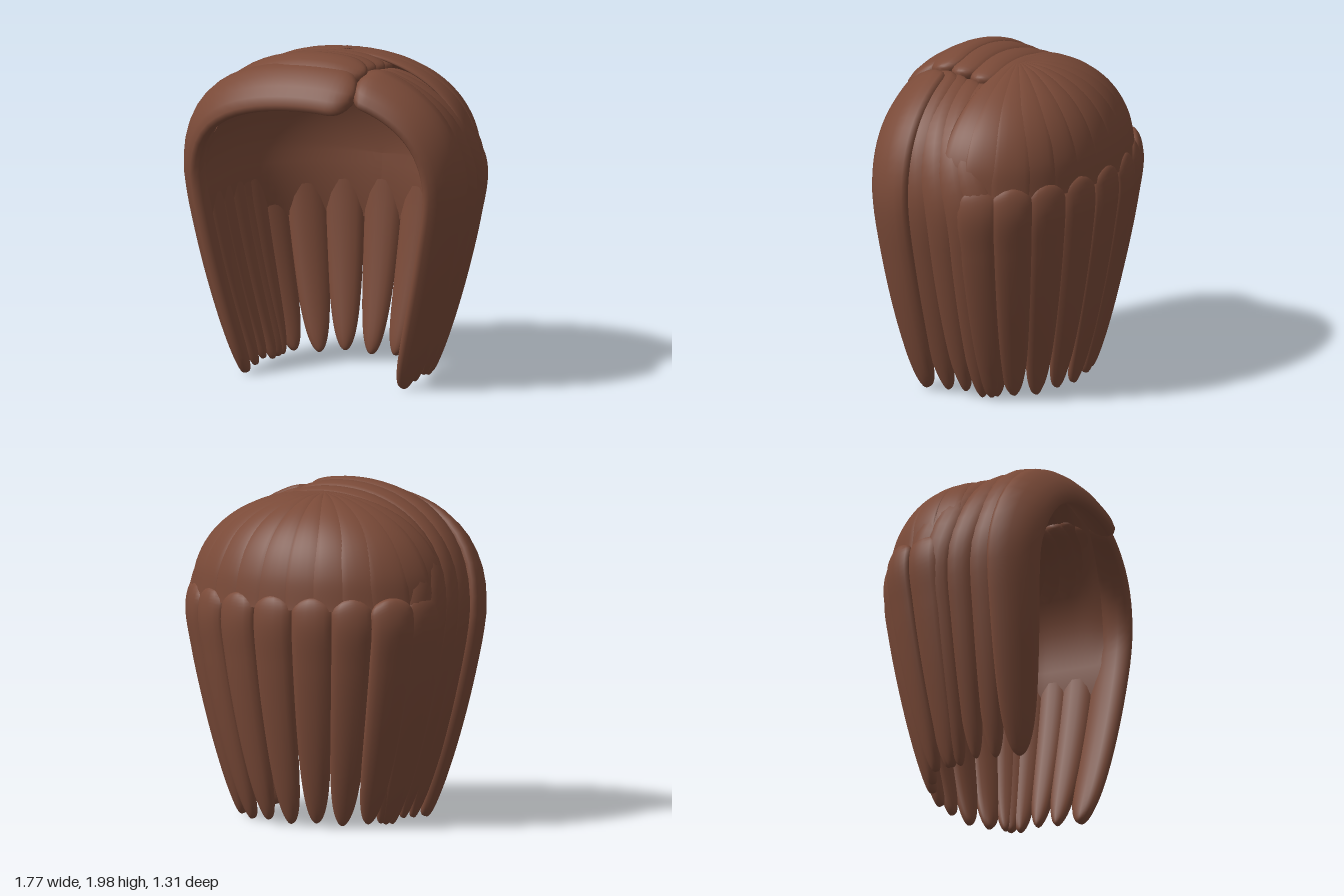
import * as THREE from 'three';

const W = 0.8, D = 0.6, BASE = 1.2; // half width, back depth, height of the widest ring
const rad = THREE.MathUtils.degToRad;

// how far the hair narrows below the widest ring
const taper = (y) => { const d = Math.max(0, BASE - y); return 1 - 0.2 * d - 0.1 * d * d; };
// height of the crown above the widest ring, dropping towards the forehead
const crown = (z) => 0.72 + 0.1 * Math.min(Math.max(z, 0), 0.3) - 2.5 * Math.max(0, z - 0.3) ** 2;
const round = (c) => Math.pow(Math.max(0, c), 0.86);
// slightly squared back outline
const backDepth = (phi) => -D * Math.cos(phi) ** 0.9;

// outward direction of the head at a point
function outward(p) {
  return new THREE.Vector3(
    p.x / (W * W),
    Math.max(0, p.y - BASE) / 0.52,
    Math.min(0, p.z) / (D * D) + Math.max(0, p.z - 0.25) * 4
  ).normalize();
}

// hanging points from the widest ring to the tip
function hang(x, z, yStart, yTip) {
  const pts = [];
  for (let i = 0; i <= 5; i++) {
    const y = yStart + (yTip - yStart) * i / 5, k = taper(y);
    pts.push(new THREE.Vector3(x * k, y, z * (z > 0 ? 1 - (1 - k) * 0.5 : k)));
  }
  return pts;
}

// flattened tube swept along a path, with a width rule
function lockGeometry(points, width, thick, profile) {
  const curve = new THREE.CatmullRomCurve3(points), N = 48, M = 14;
  const pos = [], index = [];
  for (let i = 0; i <= N; i++) {
    const t = 0.5 - 0.5 * Math.cos(Math.PI * i / N);
    const c = curve.getPointAt(t), T = curve.getTangentAt(t);
    const n = outward(c);
    n.addScaledVector(T, -n.dot(T)).normalize();
    const b = new THREE.Vector3().crossVectors(T, n);
    const s = Math.max(0.005, profile(t));
    for (let j = 0; j < M; j++) {
      const a = 2 * Math.PI * j / M;
      const p = c.clone().addScaledVector(b, Math.cos(a) * width * s)
        .addScaledVector(n, Math.sin(a) * thick * Math.sqrt(s));
      pos.push(p.x, p.y, p.z);
      if (i < N) {
        const a0 = i * M + j, a1 = i * M + (j + 1) % M;
        index.push(a0, a0 + M, a1, a1, a0 + M, a1 + M);
      }
    }
  }
  return finish(pos, index);
}

function finish(pos, index) {
  const g = new THREE.BufferGeometry();
  g.setAttribute('position', new THREE.Float32BufferAttribute(pos, 3));
  g.setIndex(index);
  g.computeVertexNormals();
  return g;
}

// width rules: rounded root, narrowing rounded tip
const rootRound = (t, r) => (t < r ? Math.sqrt(1 - (1 - t / r) ** 2) : 1);
const tipRound = (t, p) => Math.sqrt(Math.max(0, 1 - t ** p));
const hangProfile = (t) => rootRound(t, 0.07) * (1 - 0.46 * t ** 1.9) * tipRound(t, 12);
const sweepProfile = (t) => rootRound(t, 0.05) * (1 - 0.45 * t ** 3) * tipRound(t, 18);
const domeProfile = (t) => 0.12 + 0.88 * Math.sin(t * Math.PI / 2);

// inner shell: arches from back to front, its skirt flaring out into the locks
function capGeometry() {
  const w = W - 0.06, d = D - 0.065, slices = [], pos = [], index = [];
  for (let i = 0; i <= 20; i++) {
    const e = Math.PI / 2 * (1 - i / 20);
    slices.push([-d * Math.sin(e), Math.cos(e)]);
  }
  for (let i = 1; i <= 10; i++) slices.push([0.052 * i, 1]);
  const A = 32, K = 6, cols = A + 1 + 2 * K;
  slices.forEach(([z, s], r) => {
    for (let c = 0; c < cols; c++) {
      const a = Math.PI * (Math.min(Math.max(c - K, 0), A) / A - 0.5);
      const drop = Math.max(K - c, c - K - A, 0) * 0.065;
      const y = BASE + (crown(z) - 0.05) * s * round(Math.cos(a)) - drop;
      const k = taper(y) * (1 + 0.7 * drop * drop);
      const zz = z > 0 ? z * (1 - 0.3 * Math.abs(Math.sin(a))) : z;
      pos.push(w * s * Math.sin(a) * k, y, zz * k);
      if (r < slices.length - 1 && c < cols - 1) {
        const p = r * cols + c;
        index.push(p, p + cols, p + 1, p + 1, p + cols, p + cols + 1);
      }
    }
  });
  return finish(pos, index);
}

export function createModel() {
  const hair = new THREE.MeshStandardMaterial({ color: 0x7a4a38, side: THREE.DoubleSide });
  hair.name = 'brown hair';
  const model = new THREE.Group();
  model.name = 'wig';
  const group = (name) => { const g = new THREE.Group(); g.name = name; model.add(g); return g; };
  const add = (parent, name, geo) => {
    const m = new THREE.Mesh(geo, hair);
    m.name = name;
    parent.add(m);
  };

  add(model, 'innerCap', capGeometry());

  // shallow strands fanning from the crown over the back
  const dome = group('crownStrands');
  for (let i = -6; i <= 6; i++) {
    const phi = rad(i * 14), pts = [];
    for (let j = 0; j <= 6; j++) {
      const e = rad(4 + j * 13.5), r = Math.sin(e);
      pts.push(new THREE.Vector3(W * r * Math.sin(phi), BASE + 0.735 * Math.cos(e) ** 0.74, r * backDepth(phi)));
    }
    add(dome, 'crownStrand', lockGeometry(pts, 0.13, 0.024, domeProfile));
  }

  // hanging locks round the back, starting at a ridge; one stands out at the right
  const back = group('backLocks');
  for (let i = -4; i <= 4; i++) {
    const phi = rad(i * 18.5), r = i === -3 ? 1.04 : 1;
    const x = W * r * Math.sin(phi), z = r * backDepth(phi);
    const pts = [new THREE.Vector3(x * 0.96, 1.4, z * 0.96), ...hang(x, z, 1.24, 0.02 + 0.012 * (i & 1))];
    add(back, 'backLock', lockGeometry(pts, 0.13, 0.056, hangProfile));
  }

  // locks swept from the parting over each side; the first is the fringe
  const widths = [0.17, 0.12, 0.11, 0.11, 0.11];
  const sideZ = [0.385, 0.2, 0.05, -0.1, -0.23];
  const sides = [
    { name: 'right', sign: -1, start: -21, sink: 0, topZ: [0.525, 0.37, 0.24, 0.11, 0] },
    { name: 'left', sign: 1, start: 19, sink: 0.045, topZ: [0.43, 0.33, 0.25, 0.17, 0.1] },
  ];
  for (const side of sides) {
    const g = group(side.name + 'SideLocks');
    sideZ.forEach((zs, i) => {
      const pts = [], sink = side.sink + 0.01 * i; // locks melt into the crown towards the back
      for (let j = 0; j < 8; j++) {
        const a = rad(side.start + (86 - side.start) * j / 7);
        const z = zs + (side.topZ[i] - zs) * Math.cos(a);
        const s = z < 0 ? Math.sqrt(1 - (z / D) ** 2) : 1;
        const h = crown(z) * s * (1 - sink * Math.cos(a));
        pts.push(new THREE.Vector3(side.sign * W * s * Math.sin(a), BASE + h * round(Math.cos(a)), z));
      }
      const ring = zs < 0 ? Math.sqrt(1 - (zs / D) ** 2) : 1;
      pts.push(...hang(side.sign * W * ring, zs, 1.12, 0.015 + 0.012 * (i % 3)));
      add(g, i ? 'sideLock' : 'fringe', lockGeometry(pts, widths[i], i ? 0.052 : 0.066, sweepProfile));
    });
  }
  return model;
}
